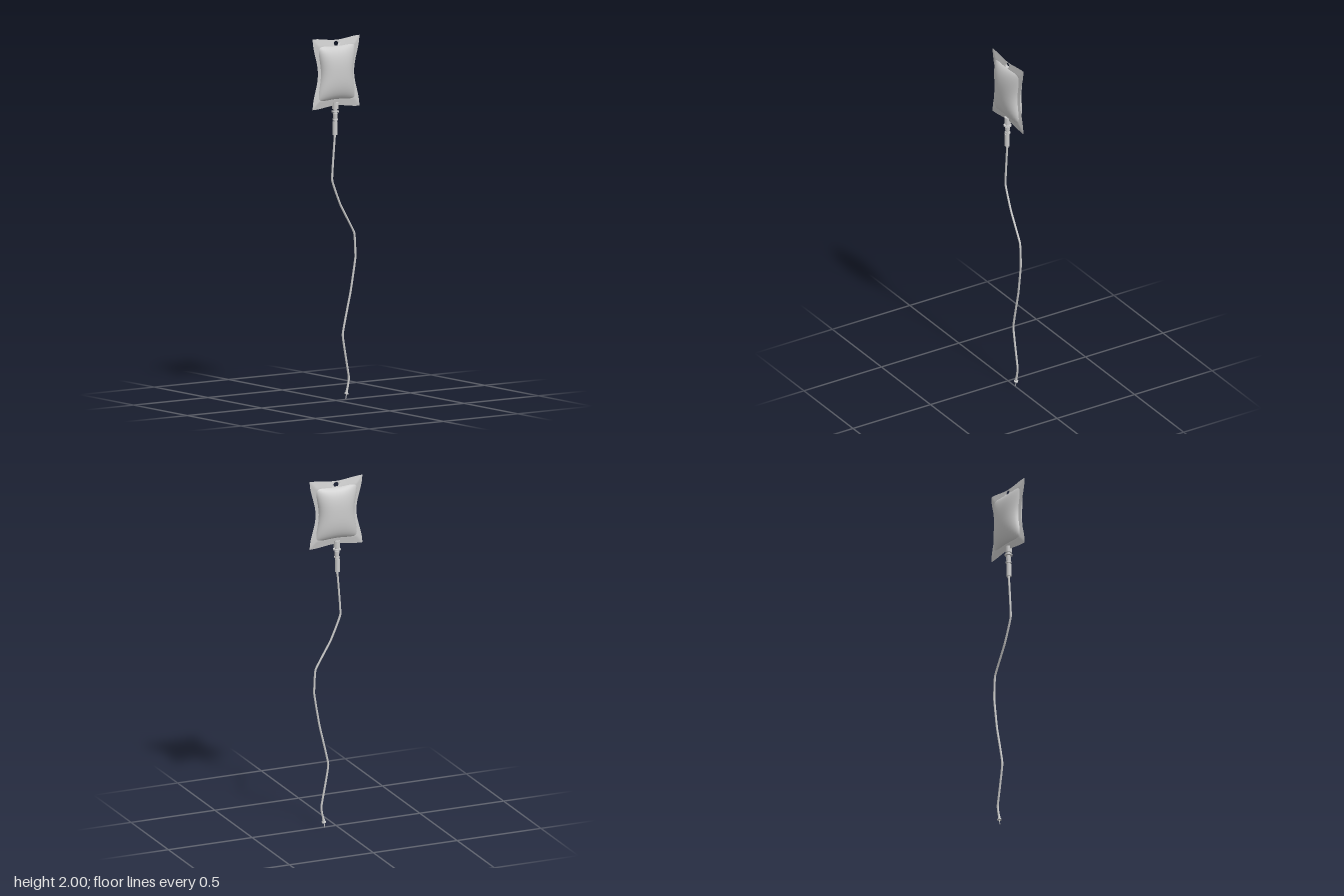
import * as THREE from 'three';

const material = new THREE.MeshStandardMaterial({ color: 0xcccccc, side: THREE.DoubleSide });

function add(parent, name, geometry) {
  const mesh = new THREE.Mesh(geometry, material);
  mesh.name = name;
  parent.add(mesh);
  return mesh;
}

// 0 in the middle, 1 at the corners, with a soft ease between
const ease = (t) => (1 - Math.cos(Math.PI * t)) / 2;

// One face of the bag: a warped grid facing +x (side = 1) or -x (side = -1)
function panel(side, segU, segV, place, hole) {
  const geo = new THREE.PlaneGeometry(2, 2, segU, segV);
  const pos = geo.attributes.position;
  const inside = [];
  for (let i = 0; i < pos.count; i++) {
    let { x, y, z } = place(pos.getX(i), pos.getY(i));
    if (hole) {
      // push grid points out to the rim of the hanging hole
      const d = Math.hypot(z, y - hole.y);
      if (d < hole.r) {
        inside[i] = true;
        const k = hole.r / Math.max(d, 1e-5);
        z *= k;
        y = hole.y + (y - hole.y) * k;
        x = 0;
      }
    }
    pos.setXYZ(i, side * x, y, -side * z);
  }
  if (hole) {
    const old = geo.index.array, kept = [];
    for (let i = 0; i < old.length; i += 3) {
      const tri = [old[i], old[i + 1], old[i + 2]];
      if (!tri.every((n) => inside[n])) kept.push(...tri);
    }
    geo.setIndex(kept);
  }
  geo.computeVertexNormals();
  return geo;
}

// Flat welded sheet, pinched at the waist and thinning to its edge
function sheetPoint(u, v) {
  const rim = 1 - Math.max(Math.abs(u), Math.abs(v));
  return {
    x: 0.009 * Math.min(1, rim / 0.22),
    y: 1.805 + v * (0.181 + 0.014 * ease(u)),
    z: u * (0.122 + 0.035 * ease(v)),
  };
}

// Swollen pouch
function pouchPoint(a, b) {
  const u = Math.sin((a * Math.PI) / 2), v = Math.sin((b * Math.PI) / 2);
  const bulge = (t) => Math.sqrt(Math.max(0, 1 - Math.abs(t) ** 2.5));
  return {
    x: 0.052 * bulge(u) * bulge(v),
    y: 1.806 + v * (0.147 + 0.007 * ease(u)),
    z: u * (0.106 + 0.019 * ease(v)),
  };
}

// Turned part with crisp steps: each straight run is its own band
function turned(parent, name, profile) {
  const points = profile.flatMap(([r, y]) => {
    const p = new THREE.Vector2(r, y);
    return [p, p.clone()];
  });
  const geo = new THREE.LatheGeometry(points, 16).toNonIndexed();
  geo.computeVertexNormals();
  return add(parent, name, geo);
}

export function createModel() {
  const model = new THREE.Group();
  model.name = 'dripBag';

  const bag = new THREE.Group();
  bag.name = 'bag';
  model.add(bag);
  for (const side of [1, -1]) {
    const label = side > 0 ? 'left' : 'right';
    add(bag, label + 'Sheet', panel(side, 42, 52, sheetPoint, { y: 1.965, r: 0.015 }));
    add(bag, label + 'Pouch', panel(side, 20, 20, pouchPoint));
  }

  // Outlet port with collar rings, then the drip chamber
  const port = turned(model, 'outletPort', [
    [0, 1.515], [0.009, 1.515], [0.009, 1.543], [0.016, 1.543], [0.016, 1.55],
    [0.012, 1.55], [0.014, 1.58], [0.01, 1.58], [0.01, 1.588], [0.022, 1.588],
    [0.022, 1.595], [0.011, 1.595], [0.011, 1.605], [0.018, 1.605], [0.018, 1.642], [0, 1.642],
  ]);
  port.position.z = 0.005;
  const chamber = turned(model, 'dripChamber', [
    [0, 1.45], [0.007, 1.45], [0.007, 1.462], [0.014, 1.462], [0.014, 1.535], [0, 1.535],
  ]);
  chamber.position.z = 0.008;

  // Hanging tube with fairly tight bends
  const path = [
    [0, 1.46, 0.008], [0, 1.215, 0.026], [0, 1.07, -0.032], [0, 0.914, -0.122],
    [0, 0.776, -0.13], [-0.003, 0.59, -0.1], [-0.004, 0.357, -0.048],
    [-0.005, 0.12, -0.09], [-0.005, 0.05, -0.078],
  ].map((p) => new THREE.Vector3(...p));
  const curve = new THREE.CatmullRomCurve3(path, false, 'catmullrom', 0.15);
  add(model, 'tube', new THREE.TubeGeometry(curve, 140, 0.006, 8));

  // Needle fitting at the end of the tube
  const needle = turned(model, 'needle', [
    [0, 0], [0.002, 0], [0.003, 0.026], [0.012, 0.028], [0.012, 0.034],
    [0.008, 0.036], [0.006, 0.06], [0, 0.06],
  ]);
  needle.position.set(-0.005, 0, -0.069);
  needle.rotation.x = -0.17;

  return model;
}
